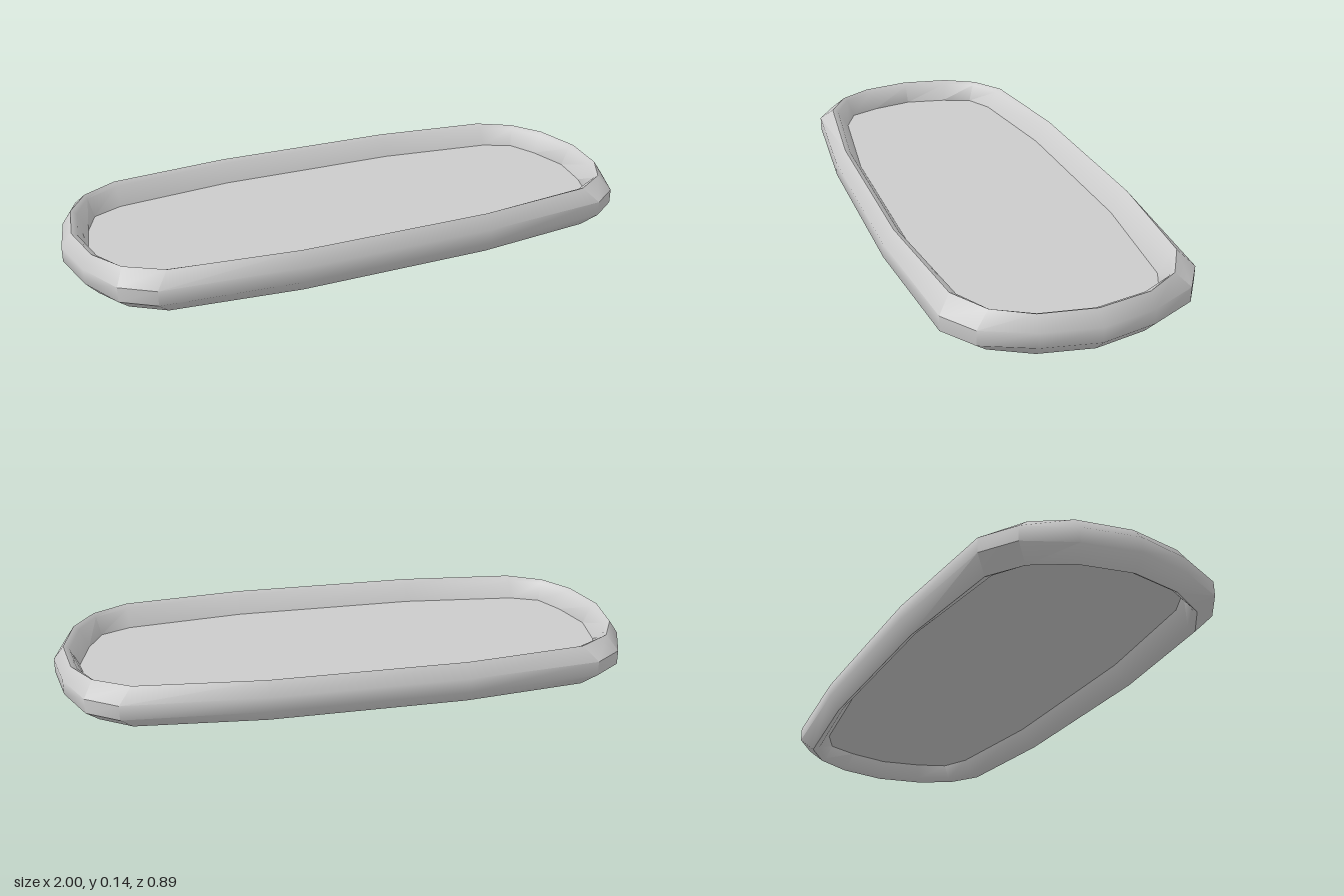
import * as THREE from 'three';
import { toCreasedNormals } from 'three/addons/utils/BufferGeometryUtils.js';

// Expand a quarter outline (end tip to long side) into a closed loop
function fullLoop(quarter) {
  const half = [
    ...quarter,
    ...quarter.slice(1).reverse().map(([x, z]) => [-x, z]),
    [-quarter[0][0], 0],
  ];
  const back = half.slice(1, -1).reverse().map(([x, z]) => [x, -z]);
  return [...half, ...back];
}

// Quarter outlines of the tray
const outer = fullLoop([[1, 0], [0.965, 0.18], [0.895, 0.335], [0.79, 0.408], [0.33, 0.447]]);
const rim = fullLoop([[0.965, 0], [0.935, 0.175], [0.867, 0.29], [0.748, 0.364], [0.33, 0.41]]);
const inner = fullLoop([[0.945, 0], [0.917, 0.167], [0.86, 0.278], [0.746, 0.342], [0.33, 0.392]]);
const floor = fullLoop([[0.917, 0], [0.888, 0.15], [0.845, 0.257], [0.744, 0.306], [0.33, 0.355]]);
const base = fullLoop([[0.957, 0], [0.925, 0.17], [0.857, 0.293], [0.752, 0.366], [0.33, 0.41]]);
const baseInner = fullLoop([[0.94, 0], [0.91, 0.163], [0.853, 0.278], [0.748, 0.342], [0.33, 0.392]]);
const floorY = 0.065;

// Skin a stack of loops
function loft(rings) {
  const n = rings[0].loop.length;
  const pos = [];
  const index = [];
  for (const { loop, y } of rings) for (const [x, z] of loop) pos.push(x, y, z);
  for (let r = 0; r < rings.length - 1; r++) {
    for (let i = 0; i < n; i++) {
      const j = (i + 1) % n;
      const a = r * n + i, b = r * n + j, c = a + n, d = b + n;
      index.push(a, c, b, b, c, d);
    }
  }
  const geo = new THREE.BufferGeometry();
  geo.setAttribute('position', new THREE.Float32BufferAttribute(pos, 3));
  geo.setIndex(index);
  return toCreasedNormals(geo, 0.86);
}

export function createModel() {
  const group = new THREE.Group();
  group.name = 'tray';

  // Bevelled border ring: from the recessed underside, round the outside, over the rim to the floor
  const border = new THREE.Mesh(loft([
    { loop: floor, y: floorY },
    { loop: baseInner, y: 0.012 },
    { loop: base, y: 0 },
    { loop: outer, y: 0.046 },
    { loop: outer, y: 0.095 },
    { loop: rim, y: 0.139 },
    { loop: inner, y: 0.128 },
    { loop: floor, y: floorY },
  ]), new THREE.MeshStandardMaterial({ color: 0xcccccc }));
  border.name = 'border';

  // Thin floor sheet held inside the border, seen from above and below
  const shape = new THREE.Shape(floor.map(([x, z]) => new THREE.Vector2(x, z)));
  const sheet = new THREE.ShapeGeometry(shape).rotateX(-Math.PI / 2).translate(0, floorY, 0);
  const floorMesh = new THREE.Mesh(
    sheet,
    new THREE.MeshStandardMaterial({ color: 0xcccccc, side: THREE.DoubleSide }),
  );
  floorMesh.name = 'floor';

  group.add(border, floorMesh);
  return group;
}
